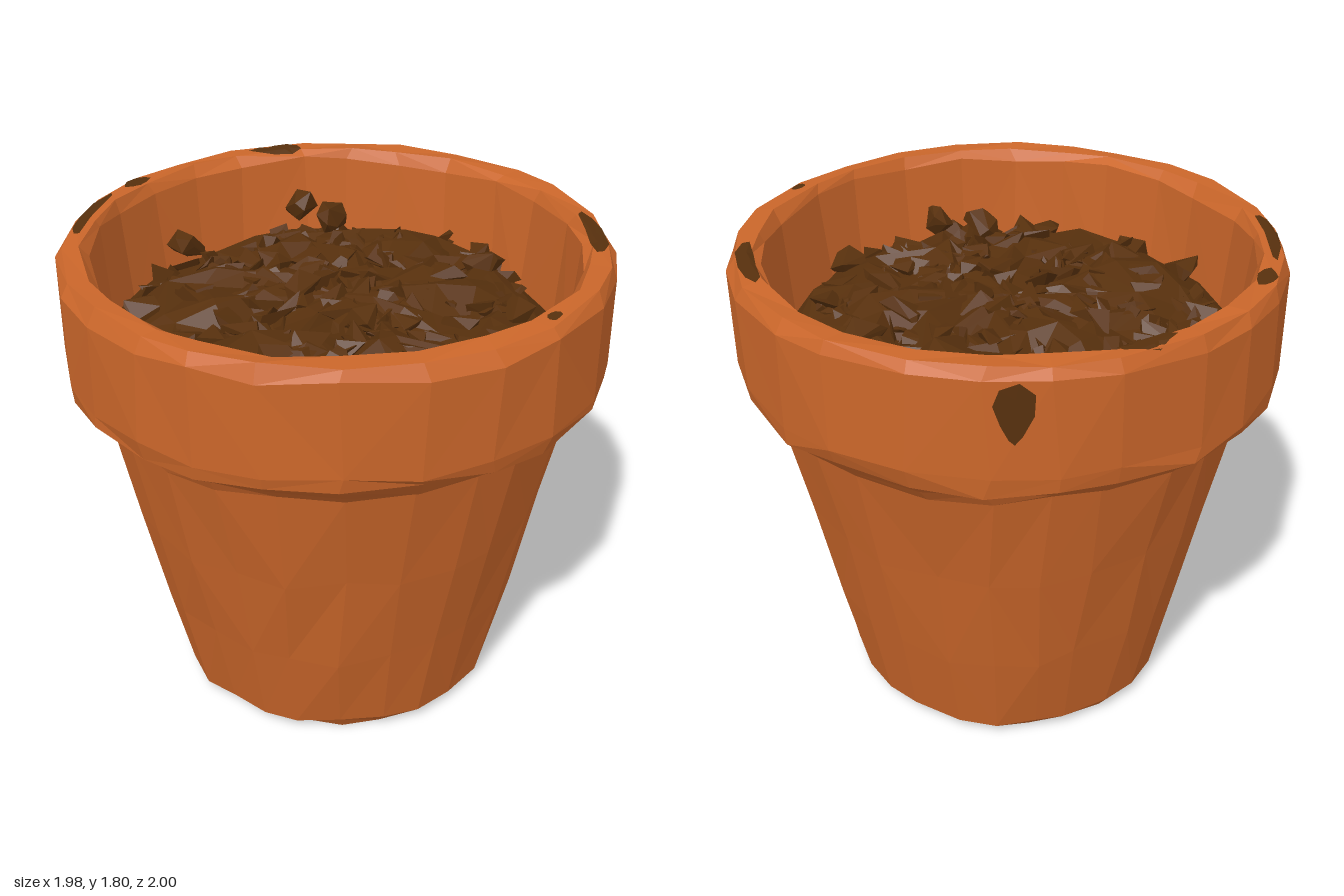
import * as THREE from 'three';
import { mergeGeometries } from 'three/addons/utils/BufferGeometryUtils.js';
import { ConvexGeometry } from 'three/addons/geometries/ConvexGeometry.js';

// Small seeded random generator
function seeded(seed) {
  let s = seed;
  return () => {
    s = (s * 16807) % 2147483647;
    return s / 2147483647;
  };
}

// Unindexed geometry, so every triangle keeps its own flat normal
function faceted(pos) {
  const g = new THREE.BufferGeometry();
  g.setAttribute('position', new THREE.Float32BufferAttribute(pos, 3));
  g.computeVertexNormals();
  return g;
}

// Faceted, slightly irregular surface of revolution.
// Each profile row is [radius, y, radius jitter, y jitter].
function roughLathe(profile, segs, angleJitter, seed) {
  const rnd = seeded(seed);
  const j = (a) => (rnd() * 2 - 1) * a;
  const columns = Array.from({ length: segs }, (_, i) => i + j(angleJitter));
  const rows = profile.map(([r, y, jr, jy]) => columns.map((c) => {
    const t = ((c + j(angleJitter * 0.5)) / segs) * Math.PI * 2;
    const rr = r + j(jr);
    return [Math.sin(t) * rr, y + j(jy), Math.cos(t) * rr];
  }));
  const pos = [];
  for (let i = 0; i < rows.length - 1; i++) {
    for (let k = 0; k < segs; k++) {
      const n = (k + 1) % segs;
      const a = rows[i][k], b = rows[i + 1][k], c = rows[i + 1][n], d = rows[i][n];
      if (rnd() < 0.5) pos.push(...a, ...d, ...c, ...a, ...c, ...b);
      else pos.push(...a, ...d, ...b, ...d, ...c, ...b);
    }
  }
  return faceted(pos);
}

export function createModel() {
  const group = new THREE.Group();
  const terracotta = new THREE.MeshStandardMaterial({ color: 0xca662a });
  const soilBrown = new THREE.MeshStandardMaterial({ color: 0x57300d });
  const add = (name, geometry, material) => {
    const mesh = new THREE.Mesh(geometry, material);
    mesh.name = name;
    group.add(mesh);
    return mesh;
  };

  // Pot: flat base, tapered wall, thick collar, rounded lip and inner wall
  const pot = add('pot', roughLathe([
    [0, 0, 0, 0],
    [0.57, 0, 0.012, 0],
    [0.622, 0.05, 0.008, 0.015],
    [0.703, 0.42, 0.005, 0.03],
    [0.79, 0.83, 0.005, 0.03],
    [0.878, 1.25, 0.007, 0.018],
    [0.91, 1.285, 0.01, 0.012],
    [0.983, 1.345, 0.01, 0.018],
    [0.994, 1.4, 0.006, 0.02],
    [0.994, 1.745, 0.006, 0.015],
    [0.965, 1.793, 0.007, 0.007],
    [0.9, 1.794, 0.01, 0.006],
    [0.872, 1.755, 0.008, 0.015],
    [0.84, 1.3, 0.004, 0],
  ], 25, 0.16, 77), terracotta);

  // Soil: domed bed, smooth at its edge and rough in the middle
  add('soilBed', roughLathe([
    [0.88, 1.35, 0, 0],
    [0.8, 1.45, 0.01, 0.015],
    [0.72, 1.51, 0.02, 0.02],
    [0.6, 1.55, 0.04, 0.04],
    [0.47, 1.565, 0.04, 0.05],
    [0.33, 1.575, 0.04, 0.05],
    [0.18, 1.58, 0.03, 0.03],
    [0, 1.57, 0, 0],
  ], 26, 0.3, 4211), soilBrown);

  // Angular crumbs scattered evenly over the bed
  const rnd = seeded(9157);
  const crumb = (x, y, z, size, flat, count) => {
    const points = Array.from({ length: count }, () => new THREE.Vector3(rnd() - 0.5, rnd() - 0.5, rnd() - 0.5)
      .normalize().multiplyScalar(size * (0.7 + rnd() * 0.5)));
    const g = new ConvexGeometry(points);
    g.scale(1, flat, 0.6 + rnd() * 0.3);
    g.rotateX((rnd() - 0.5) * 0.9);
    g.rotateY(rnd() * Math.PI * 2);
    g.translate(x, y, z);
    return g;
  };
  const crumbs = [];
  const total = 210;
  for (let i = 0; i < total; i++) {
    const r = Math.sqrt((i + rnd()) / total) * 0.7, t = i * 2.39996 + rnd() * 0.8;
    crumbs.push(crumb(Math.sin(t) * r, 1.58 - 0.13 * r * r, Math.cos(t) * r, 0.06 + rnd() * 0.055, 0.6, 7));
  }
  add('soilCrumbs', mergeGeometries(crumbs), soilBrown);

  // Larger clods resting on top
  const clods = [
    [-0.29, 1.61, -0.71, 0.085], [-0.13, 1.61, -0.6, 0.085], [0.27, 1.6, 0.62, 0.07],
    [0.6, 1.57, 0.32, 0.085], [-0.66, 1.56, 0.22, 0.09], [0.1, 1.59, 0.57, 0.085],
    [-0.66, 1.56, -0.34, 0.08], [0.5, 1.58, -0.35, 0.09],
  ].map(([x, y, z, s]) => crumb(x, y, z, s, 0.85, 14));
  add('soilClods', mergeGeometries(clods), soilBrown);

  // Dirt smudges: thin ragged plates laid onto the pot surface
  pot.updateMatrixWorld(true);
  const ray = new THREE.Raycaster();
  const smudge = (name, angle, halfAngle, mid, halfSize, onTop) => {
    const place = (u, v) => {
      const t = angle + u * halfAngle, w = mid + v * halfSize;
      const out = new THREE.Vector3(Math.sin(t), 0, Math.cos(t));
      const origin = out.clone().multiplyScalar(onTop ? w : 1.5).setY(onTop ? 3 : w);
      const dir = onTop ? new THREE.Vector3(0, -1, 0) : out.negate();
      ray.set(origin, dir);
      const p = ray.intersectObject(pot)[0].point;
      return p.addScaledVector(dir, -0.007).toArray();
    };
    const n = 9, pos = [];
    const reach = Array.from({ length: n }, () => 0.7 + rnd() * 0.3);
    const at = (k, f) => {
      const a = (k / n) * Math.PI * 2, r = reach[k % n] * f;
      const v = Math.sin(a) * r;
      // Collar smudges narrow towards the bottom
      return place(Math.cos(a) * r * (onTop ? 1 : 0.75 + 0.5 * v), v);
    };
    for (let k = 0; k < n; k++) {
      const c = place(0, 0), a = at(k, 0.5), b = at(k + 1, 0.5), d = at(k, 1), e = at(k + 1, 1);
      // On the lip the radial axis points outward, so the order is reversed
      [[c, a, b], [a, d, e], [a, e, b]].forEach(([p, q, s]) => {
        pos.push(...p, ...(onTop ? s : q), ...(onTop ? q : s));
      });
    }
    add(name, faceted(pos), soilBrown);
  };
  smudge('backLipSmudge', Math.atan2(-0.42, -0.84), 0.13, 0.92, 0.045, true);
  smudge('rightLipSmudge', Math.atan2(-0.95, -0.02), 0.26, 0.935, 0.03, true);
  smudge('rightBackLipSmudge', Math.atan2(-0.87, -0.36), 0.08, 0.93, 0.036, true);
  smudge('leftLipSmudge', Math.atan2(0.91, -0.22), 0.22, 0.925, 0.04, true);
  smudge('frontLipSmudge', Math.atan2(0.8, 0.48), 0.045, 0.93, 0.025, true);
  smudge('backCollarSmudge', Math.atan2(0, -0.98), 0.09, 1.64, 0.12, false);
  return group;
}
